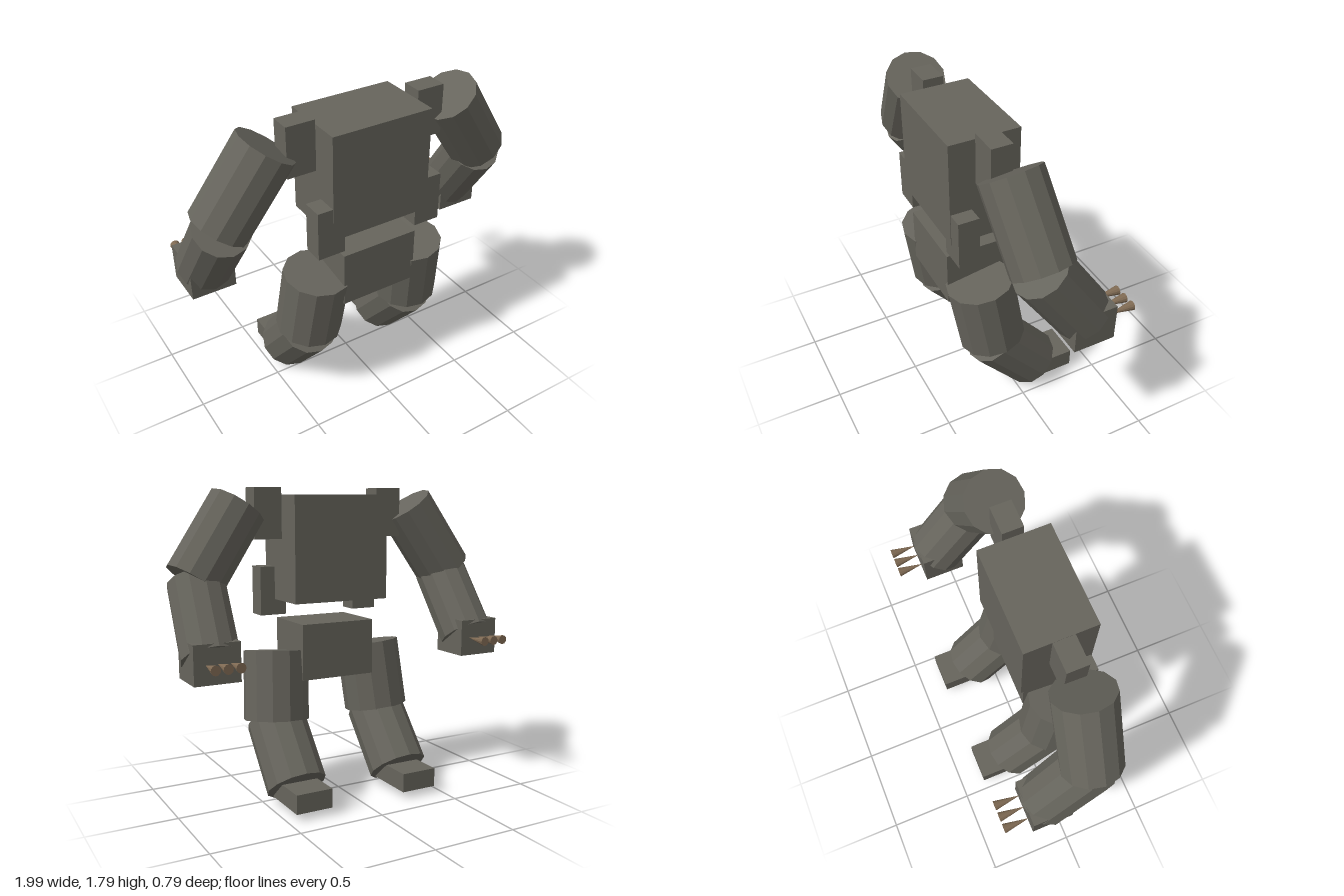
import * as THREE from 'three';

export function createModel() {
  const root = new THREE.Group();
  const stone = new THREE.MeshStandardMaterial({ color: 0x66645c, flatShading: true });
  stone.name = 'stone grey';
  const horn = new THREE.MeshStandardMaterial({ color: 0x7f6a53, flatShading: true });
  horn.name = 'horn brown';

  const add = (name, geometry, material) => {
    const mesh = new THREE.Mesh(geometry, material);
    mesh.name = name;
    root.add(mesh);
    return mesh;
  };

  // Block from its lower and upper corners
  const block = (name, x0, x1, y0, y1, z0, z1) => {
    const w = Math.abs(x1 - x0);
    add(name, new THREE.BoxGeometry(w, y1 - y0, z1 - z0), stone)
      .position.set((x0 + x1) / 2, (y0 + y1) / 2, (z0 + z1) / 2);
  };

  // Twelve-sided limb segment between two points
  const limb = (name, from, to, radius) => {
    const a = new THREE.Vector3(...from), b = new THREE.Vector3(...to);
    const axis = a.clone().sub(b);
    const mesh = add(name, new THREE.CylinderGeometry(radius, radius, axis.length(), 12), stone);
    mesh.position.copy(a).add(b).multiplyScalar(0.5);
    mesh.quaternion.setFromUnitVectors(new THREE.Vector3(0, 1, 0), axis.normalize());
  };

  // Trunk
  block('torso', -0.298, 0.298, 1.145, 1.75, -0.047, 0.357);
  block('pelvis', -0.232, 0.232, 0.69, 1.017, 0, 0.355);

  for (const [side, s] of [['left', 1], ['right', -1]]) {
    // Shoulder and waist blocks
    block(side + 'Shoulder', s * 0.312, s * 0.477, 1.503, 1.79, 0.096, 0.216);
    block(side + 'WaistBlock', s * 0.228, s * 0.388, 1.053, 1.338, 0.233, 0.354);

    // Arm
    limb(side + 'UpperArm', [s * 0.556, 1.687, 0.156], [s * 0.83, 1.286, 0.118], 0.17);
    limb(side + 'Forearm', [s * 0.815, 1.277, 0.126], [s * 0.835, 0.903, -0.133], 0.16);
    block(side + 'Hand', s * 0.711, s * 0.968, 0.79, 1.005, -0.25, -0.01);

    // Claws flare away from the hand
    for (const x of [0.77, 0.837, 0.904]) {
      const claw = add(side + 'Claw', new THREE.ConeGeometry(0.027, 0.15, 12), horn);
      claw.rotation.x = Math.PI / 2;
      claw.position.set(s * x, 0.897, -0.324);
    }

    // Leg
    limb(side + 'Thigh', [s * 0.313, 0.846, 0.199], [s * 0.343, 0.445, 0.137], 0.192);
    limb(side + 'Shin', [s * 0.342, 0.44, 0.145], [s * 0.342, 0.118, -0.13], 0.174);
    block(side + 'Foot', s * 0.234, s * 0.453, 0.045, 0.155, -0.358, -0.03);
  }
  return root;
}
